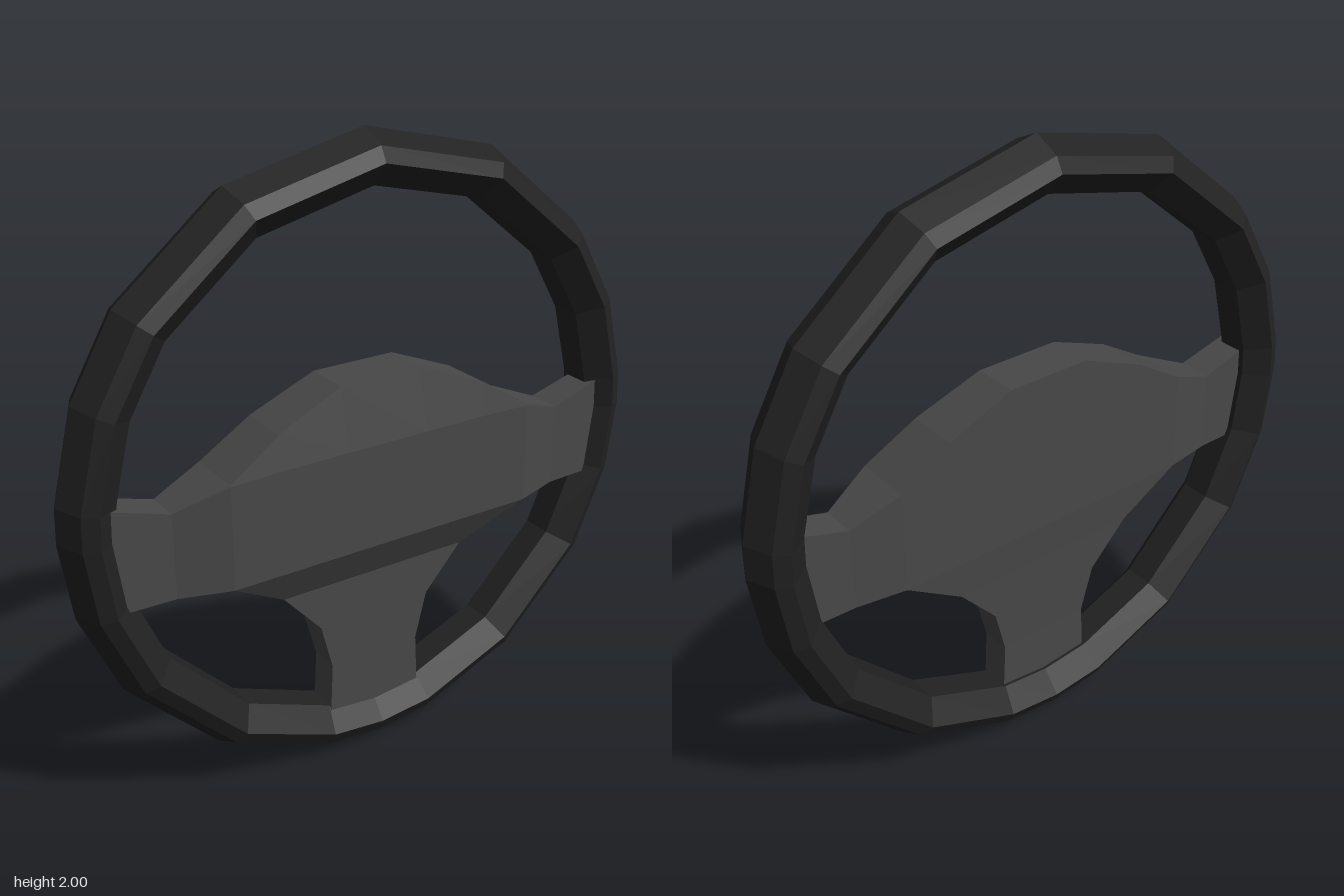
import * as THREE from 'three';

// Skin a list of equal-length closed rings; capped or closed into a loop
function loft(rings, { loop = false, flip = false } = {}) {
  const n = rings[0].length, count = rings.length, pos = [];
  const tri = (a, b, c) => pos.push(...a, ...(flip ? c : b), ...(flip ? b : c));
  for (let i = 0; i < (loop ? count : count - 1); i++) {
    const p = rings[i], q = rings[(i + 1) % count];
    for (let j = 0; j < n; j++) {
      const k = (j + 1) % n;
      tri(p[j], q[j], q[k]);
      tri(p[j], q[k], p[k]);
    }
  }
  if (!loop) {
    const a = rings[0], b = rings[count - 1];
    for (let j = 1; j < n - 1; j++) {
      tri(a[0], a[j], a[j + 1]);
      tri(b[0], b[j + 1], b[j]);
    }
  }
  const geo = new THREE.BufferGeometry();
  geo.setAttribute('position', new THREE.Float32BufferAttribute(pos, 3));
  geo.computeVertexNormals();
  return geo;
}

function part(name, geo, color) {
  const mat = new THREE.MeshStandardMaterial({ color, flatShading: true });
  const mesh = new THREE.Mesh(geo, mat);
  mesh.name = name;
  return mesh;
}

export function createModel() {
  const group = new THREE.Group();
  group.name = 'steeringWheel';
  const RIM = 0x222222, HUB = 0x484848;

  // Rim: faceted section swept around unevenly spaced angles, measured from the top
  const half = [0, 26.7, 52.1, 68, 84.6, 91, 105, 122.5, 147, 168.5, 180];
  const angles = [...half, ...half.slice(1, -1).reverse().map(a => 360 - a)];
  const section = [[1, 0], [0.96, 0.085], [0.915, 0.11], [0.842, 0.05],
    [0.842, -0.05], [0.915, -0.11], [0.96, -0.085]];
  const rimRings = angles.map(deg => {
    const a = THREE.MathUtils.degToRad(deg);
    return section.map(([r, z]) => [r * Math.sin(a), 0.995 + r * Math.cos(a), z - 0.01]);
  });
  group.add(part('rim', loft(rimRings, { loop: true }), RIM));

  // Hub and side spokes: x, top y, crest y, top front z, crest z, back z
  const right = [
    [0.14, 1.28, 1.085, 0.08, 0.12, -0.07],
    [0.36, 1.19, 1.085, 0.10, 0.12, -0.07],
    [0.53, 1.085, 1.08, 0.119, 0.12, -0.07],
    [0.69, 1.02, 1.015, 0.07, 0.07, -0.045],
    [0.91, 1.085, 1.08, 0.06, 0.06, -0.04],
  ];
  const stations = [...right.map(([x, ...r]) => [-x, ...r]).reverse(), ...right];
  const hubRings = stations.map(([x, top, crest, zTop, zCrest, back]) => [
    [x, top, zTop], [x, crest, zCrest], [x, 0.75, zCrest], [x, 0.75, back], [x, top, back],
  ]);
  group.add(part('hubAndSideSpokes', loft(hubRings), HUB));

  // Lower spoke: y, half width, front z, back z
  const rows = [[0.75, 0.53, 0.12, -0.07], [0.62, 0.33, 0.05, -0.06], [0.475, 0.2, 0.05, -0.055],
    [0.32, 0.16, 0.05, -0.05], [0.1, 0.17, 0.05, -0.05]];
  const spokeRings = rows.map(([y, w, f, b]) => [[-w, y, f], [w, y, f], [w, y, b], [-w, y, b]]);
  group.add(part('lowerSpoke', loft(spokeRings, { flip: false }), HUB));

  // Turn any inward-wound part outward by checking its signed volume
  group.children.forEach(({ geometry }) => {
    const p = geometry.attributes.position;
    const v = [0, 1, 2].map(() => new THREE.Vector3());
    let volume = 0;
    for (let i = 0; i < p.count; i += 3) {
      v.forEach((c, k) => c.fromBufferAttribute(p, i + k));
      volume += v[0].dot(v[1].clone().cross(v[2]));
    }
    if (volume > 0) return;
    for (let i = 0; i < p.count; i += 3) {
      const b = new THREE.Vector3().fromBufferAttribute(p, i + 1);
      p.setXYZ(i + 1, p.getX(i + 2), p.getY(i + 2), p.getZ(i + 2));
      p.setXYZ(i + 2, b.x, b.y, b.z);
    }
    geometry.computeVertexNormals();
  });
  return group;
}
